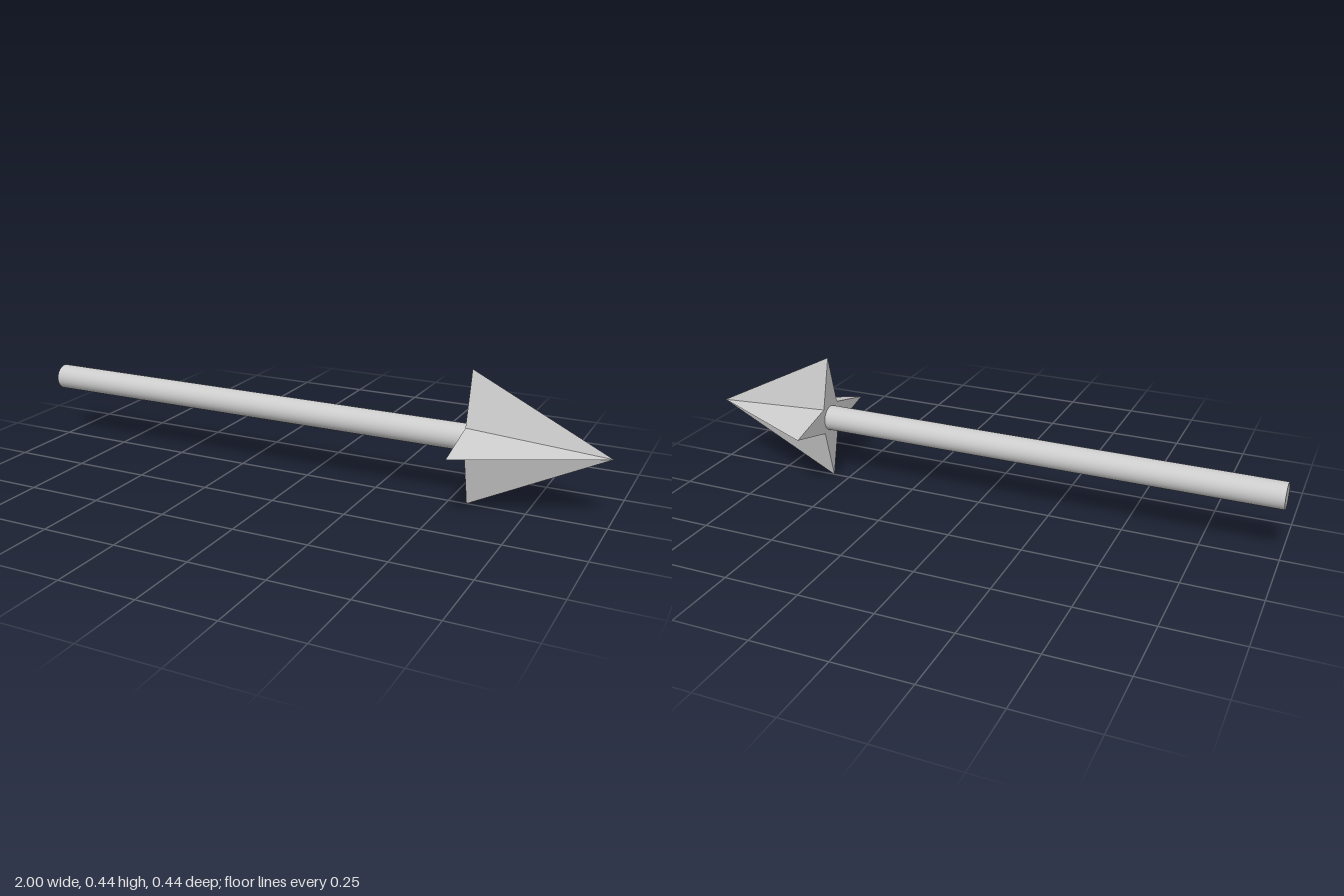
import * as THREE from 'three';

const AXIS_Y = 0.222;   // height of the arrow's centre line
const HEAD_BASE = 0.56; // where the head meets the shaft
const FIN_RADIUS = 0.22;
const VALLEY_RADIUS = 0.063;
const SHAFT_RADIUS = 0.043;

// Turns a part built along +y so that it points along +x, between two x positions
function layAlongX(geometry, x0, x1) {
  return geometry.rotateZ(-Math.PI / 2).translate((x0 + x1) / 2, AXIS_Y, 0);
}

// Eight-sided cone whose diagonal corners are pulled in to a four-pointed star
function starCone(height) {
  const geometry = new THREE.ConeGeometry(FIN_RADIUS, height, 8, 1).toNonIndexed();
  const pos = geometry.attributes.position;
  const pull = VALLEY_RADIUS / FIN_RADIUS;
  for (let i = 0; i < pos.count; i++) {
    const x = pos.getX(i), z = pos.getZ(i);
    if (Math.abs(x) > 0.01 && Math.abs(z) > 0.01) {
      pos.setX(i, x * pull);
      pos.setZ(i, z * pull);
    }
  }
  geometry.computeVertexNormals();
  return geometry;
}

export function createModel() {
  const group = new THREE.Group();
  group.name = 'arrow';

  // Round shaft, capped at both ends
  const shaft = new THREE.Mesh(
    layAlongX(new THREE.CylinderGeometry(SHAFT_RADIUS, SHAFT_RADIUS, HEAD_BASE + 1, 32), -1, HEAD_BASE),
    new THREE.MeshStandardMaterial({ color: 0xcccccc })
  );
  shaft.name = 'shaft';

  // Four-finned head with a flat back
  const head = new THREE.Mesh(
    layAlongX(starCone(1 - HEAD_BASE), HEAD_BASE, 1),
    new THREE.MeshStandardMaterial({ color: 0xcccccc, flatShading: true })
  );
  head.name = 'arrowHead';

  group.add(shaft, head);
  return group;
}
